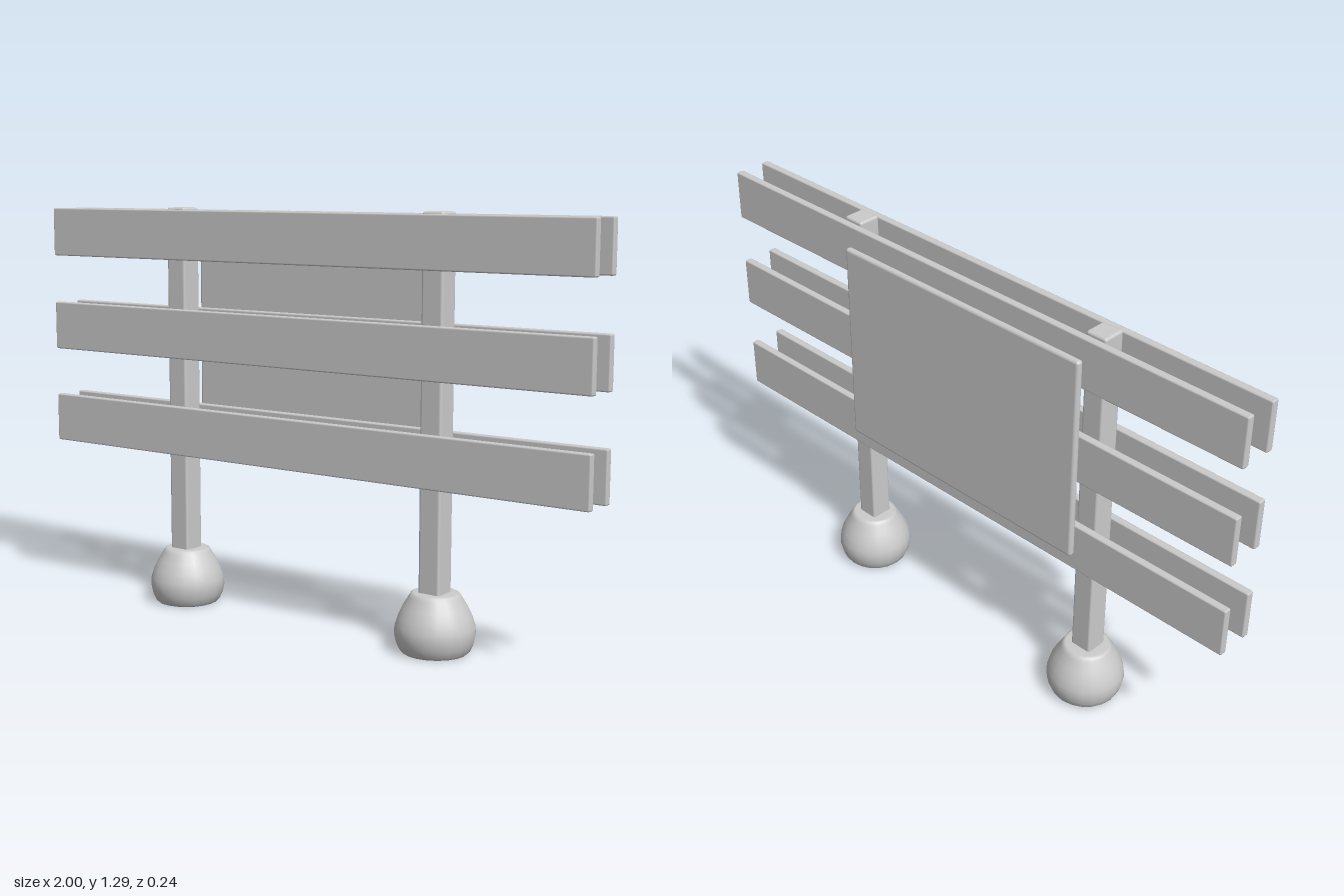
import * as THREE from 'three';
import { RoundedBoxGeometry } from 'three/addons/geometries/RoundedBoxGeometry.js';

export function createModel() {
  const group = new THREE.Group();
  const material = new THREE.MeshStandardMaterial({ color: 0xcccccc });

  function add(name, geometry, x, y, z) {
    const mesh = new THREE.Mesh(geometry, material);
    mesh.name = name;
    mesh.position.set(x, y, z);
    group.add(mesh);
  }

  // Bulbous footing: flat underside, round belly, chamfered top
  const baseProfile = [
    [0, 0], [0.098, 0], [0.106, 0.008], [0.115, 0.028], [0.121, 0.055], [0.119, 0.08],
    [0.11, 0.108], [0.096, 0.137], [0.078, 0.167], [0.073, 0.176], [0.065, 0.18], [0, 0.18],
  ].map(([r, y]) => new THREE.Vector2(r, y));
  const baseGeometry = new THREE.LatheGeometry(baseProfile, 20);

  // Square posts with softened edges
  const postBottom = 0.1, postTop = 1.286;
  const postGeometry = new RoundedBoxGeometry(0.072, postTop - postBottom, 0.073, 2, 0.008);

  for (const [side, x] of [['right', -0.48], ['left', 0.48]]) {
    add(side + 'Base', baseGeometry, x, 0, 0);
    add(side + 'Post', postGeometry, x, (postBottom + postTop) / 2, 0.0045);
  }

  // Three pairs of horizontal boards, in front of and behind the posts
  const boardGeometry = new RoundedBoxGeometry(2, 0.158, 0.025, 1, 0.005);
  [0.573, 0.886, 1.2].forEach((y, i) => {
    add('frontBoard' + (i + 1), boardGeometry, 0, y, 0.0535);
    add('backBoard' + (i + 1), boardGeometry, 0, y, -0.0475);
  });

  // Sign panel on the back
  add('backPanel', new RoundedBoxGeometry(0.93, 0.664, 0.023, 3, 0.01), -0.003, 0.885, -0.0735);

  return group;
}
